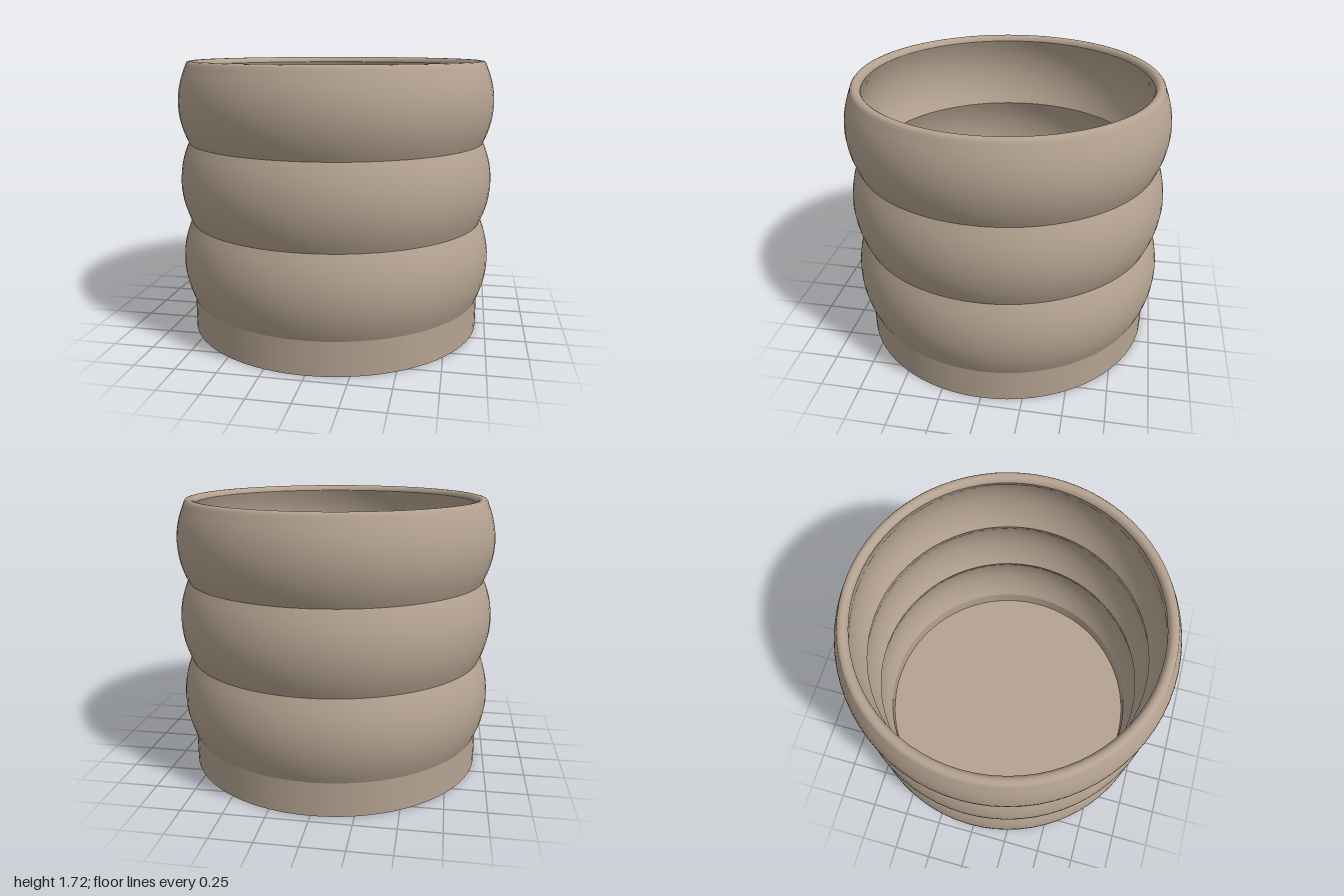
import * as THREE from 'three';

const SEGMENTS = 72;

// Points of a shallow bulge from (r0,y0) to (r1,y1), swelling outward by `swell`
function bulge(r0, y0, r1, y1, swell, steps = 14) {
  const points = [];
  for (let i = 0; i <= steps; i++) {
    const t = i / steps;
    points.push([r0 + (r1 - r0) * t + swell * 4 * t * (1 - t), y0 + (y1 - y0) * t]);
  }
  return points;
}

export function createModel() {
  const group = new THREE.Group();
  group.name = 'ribbedPot';
  const clay = new THREE.MeshStandardMaterial({ color: 0xb5a391 });
  clay.name = 'warm clay';

  // Each profile piece is its own lathe, so edges between pieces stay sharp
  function turn(name, points) {
    const profile = points.map(([r, y]) => new THREE.Vector2(r, y));
    const mesh = new THREE.Mesh(new THREE.LatheGeometry(profile, SEGMENTS), clay);
    mesh.name = name;
    group.add(mesh);
  }

  // Underside: recessed panel with a raised inner foot ring and outer foot
  const underside = [
    [0, 0.02], [0.47, 0.02], [0.47, 0], [0.52, 0],
    [0.52, 0.02], [0.89, 0.02], [0.89, 0], [0.94, 0],
  ];
  for (let i = 1; i < underside.length; i++) {
    turn('underside' + i, [underside[i - 1], underside[i]]);
  }

  // Straight base band
  turn('baseBand', [[0.94, 0], [0.94, 0.21]]);

  // Outer ribs; the top one flows into the rounded rim
  turn('lowerRib', bulge(0.94, 0.21, 0.94, 0.715, 0.058));
  turn('middleRib', bulge(0.94, 0.715, 0.94, 1.215, 0.058));
  turn('upperRib', [
    ...bulge(0.94, 1.215, 0.948, 1.68, 0.054),
    [0.942, 1.699], [0.932, 1.711], [0.917, 1.715],
    [0.902, 1.713], [0.89, 1.705], [0.882, 1.69], [0.881, 1.68],
  ]);

  // Inner wall, following the ribs downward
  turn('innerUpper', bulge(0.881, 1.68, 0.866, 1.215, 0.054));
  turn('innerMiddle', bulge(0.866, 1.215, 0.866, 0.715, 0.058));
  turn('innerLower', bulge(0.866, 0.715, 0.866, 0.21, 0.058));
  turn('innerBase', [[0.866, 0.21], [0.866, 0.1]]);
  turn('floor', [[0.866, 0.1], [0, 0.1]]);

  return group;
}
